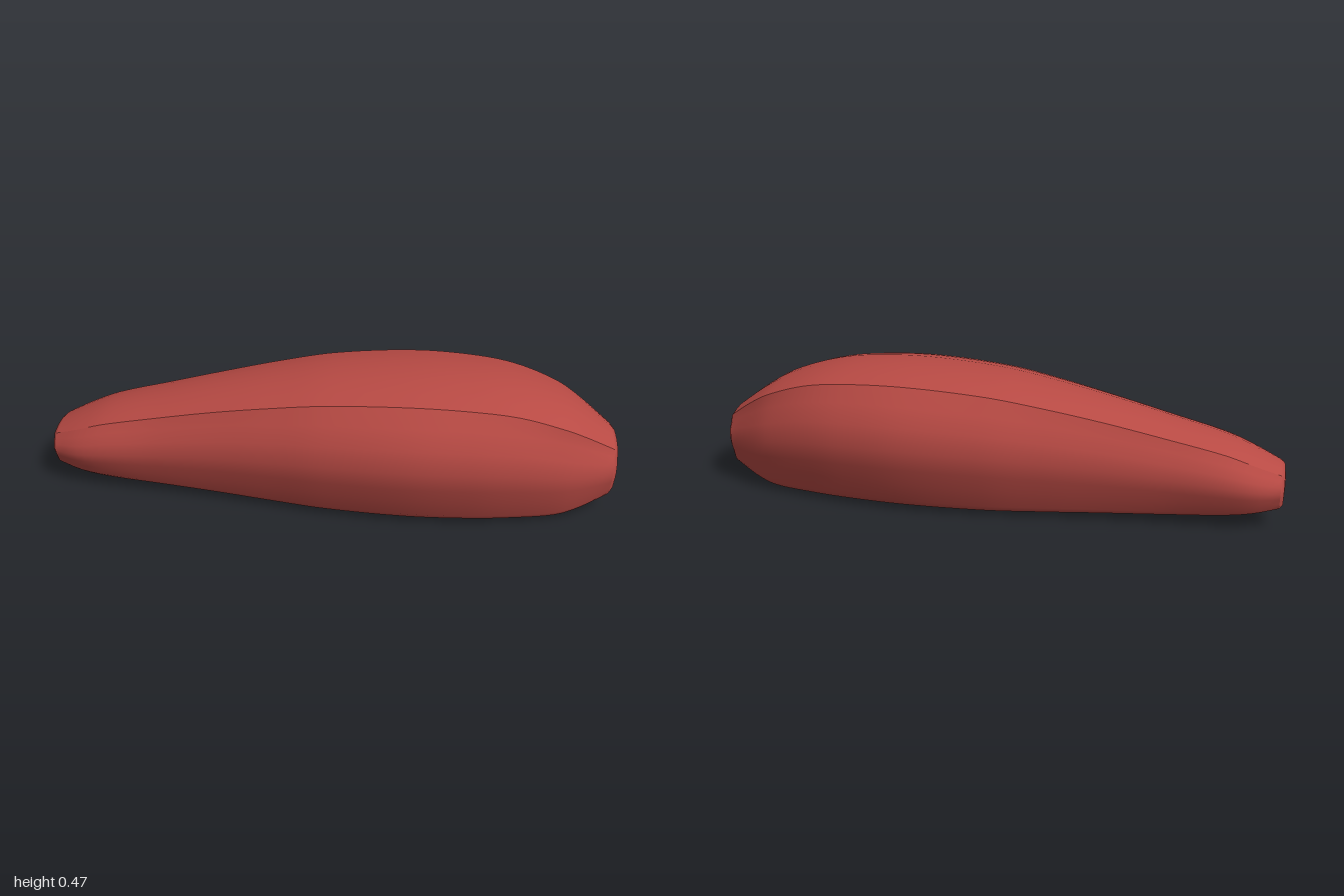
import * as THREE from 'three';

// Stations along the length: x, top y, crease y, crease z, half width, bottom y, groove roof y
const STATIONS = [
  [-0.985, 0.2, 0.188, 0.08, 0.11, 0.066, 0.105],
  [-0.9, 0.24, 0.222, 0.107, 0.15, 0.05, 0.11],
  [-0.8, 0.28, 0.258, 0.122, 0.17, 0.038, 0.12],
  [-0.6, 0.332, 0.305, 0.138, 0.186, 0.023, 0.135],
  [-0.4, 0.38, 0.35, 0.157, 0.212, 0.013, 0.145],
  [-0.2, 0.422, 0.39, 0.18, 0.247, 0.005, 0.155],
  [0, 0.455, 0.422, 0.2, 0.283, 0, 0.16],
  [0.28, 0.473, 0.44, 0.214, 0.309, 0, 0.16],
  [0.5, 0.465, 0.433, 0.21, 0.296, 0, 0.155],
  [0.65, 0.44, 0.412, 0.198, 0.268, 0, 0.145],
  [0.8, 0.39, 0.362, 0.175, 0.223, 0.002, 0.13],
  [0.88, 0.343, 0.318, 0.145, 0.185, 0.02, 0.122],
  [0.982, 0.27, 0.25, 0.096, 0.128, 0.062, 0.115],
];

// Side outline from crease to inner lip: z / half width, height between bottom and crease
const SIDE = [[0.83, 0.87], [0.96, 0.73], [1, 0.55], [0.96, 0.39], [0.87, 0.24],
  [0.8, 0.09], [0.73, 0.035], [0.6, 0], [0.47, 0.015], [0.31, 0.09]];

// Smooth cubic interpolation through the stations
function stationAt(x) {
  const n = STATIONS.length;
  let k = 0;
  while (k < n - 2 && x > STATIONS[k + 1][0]) k++;
  const a = STATIONS[k], b = STATIONS[k + 1];
  const before = STATIONS[Math.max(k - 1, 0)], after = STATIONS[Math.min(k + 2, n - 1)];
  const h = b[0] - a[0], t = (x - a[0]) / h, t2 = t * t, t3 = t2 * t;
  return a.map((v, c) => {
    if (c === 0) return x;
    const m0 = (b[c] - before[c]) / (b[0] - before[0]) * h;
    const m1 = (after[c] - v) / (after[0] - a[0]) * h;
    return (2 * t3 - 3 * t2 + 1) * v + (t3 - 2 * t2 + t) * m0 + (3 * t2 - 2 * t3) * b[c] + (t3 - t2) * m1;
  });
}

const mirror = (points) => points.map(([z, y]) => [-z, y]).reverse();

// One cross-section, split into [z, y] strips at the sharp edges
function section([, top, creaseY, creaseZ, width, bottom, roof]) {
  const crease = [creaseZ, creaseY];
  const side = [crease, ...SIDE.map(([z, v]) => [z * width, bottom + v * (creaseY - bottom)])];
  const shoulder = [[creaseZ * 0.35, top - (top - creaseY) * 0.08],
    [creaseZ * 0.7, top - (top - creaseY) * 0.5], crease];
  const wall = [side[side.length - 1], [0.024, roof - 0.006], [0.014, roof]];
  return {
    back: [...mirror(shoulder), [0, top], ...shoulder],
    leftFlank: side,
    groove: [...wall, ...mirror(wall)],
    rightFlank: mirror(side),
  };
}

// Smooth surface through rows of [x, y, z] points
function surface(rows) {
  const n = rows[0].length, index = [];
  for (let i = 0; i < rows.length - 1; i++) {
    for (let j = 0; j < n - 1; j++) {
      const a = i * n + j, c = a + n;
      index.push(a, a + 1, c, a + 1, c + 1, c);
    }
  }
  const geometry = new THREE.BufferGeometry();
  geometry.setAttribute('position', new THREE.Float32BufferAttribute(rows.flat(2), 3));
  geometry.setIndex(index);
  geometry.computeVertexNormals();
  return geometry;
}

export function createModel() {
  const group = new THREE.Group();
  group.name = 'groovedSeed';
  const red = new THREE.MeshStandardMaterial({ color: 0xb84a44 });
  red.name = 'red';
  const add = (name, geometry) => {
    const mesh = new THREE.Mesh(geometry, red);
    mesh.name = name;
    group.add(mesh);
  };

  // Body strips, lofted from end to end
  const steps = 64, x0 = STATIONS[0][0], x1 = STATIONS[STATIONS.length - 1][0];
  const xs = Array.from({ length: steps + 1 }, (_, i) => x0 + (x1 - x0) * i / steps);
  const sections = xs.map((x) => section(stationAt(x)));
  for (const name of ['back', 'leftFlank', 'groove', 'rightFlank']) {
    add(name, surface(sections.map((s, i) => s[name].map(([z, y]) => [xs[i], y, z]))));
  }

  // Slightly domed end caps, notched by the groove
  const cap = (s, x, tip, centreY) => {
    const loop = [...s.back, ...s.leftFlank.slice(1), ...s.groove.slice(1), ...s.rightFlank.slice(1)];
    return [[1, 0], [0.85, 0.75], [0.4, 1], [0, 1]].map(([scale, out]) =>
      loop.map(([z, y]) => [x + (tip - x) * out, centreY + (y - centreY) * scale, z * scale]));
  };
  add('bluntEnd', surface(cap(sections[steps], x1, 1, 0.17)));
  add('narrowEnd', surface(cap(sections[0], x0, -1, 0.14).reverse()));
  return group;
}
